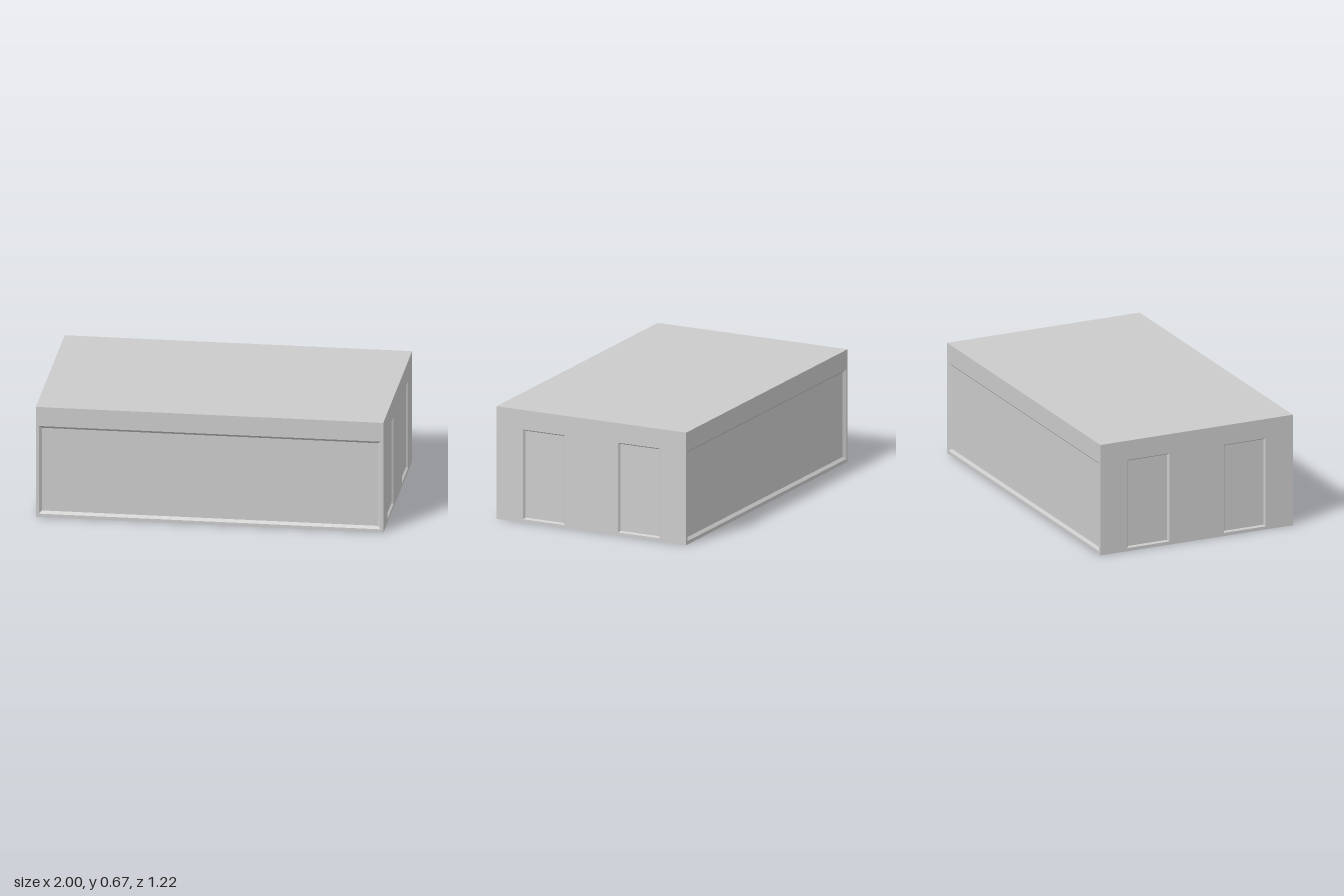
import * as THREE from 'three';

const W = 2, H = 0.666, D = 1.22;
const material = new THREE.MeshStandardMaterial({ color: 0xcccccc, flatShading: true });

function part(name, geometry) {
  const mesh = new THREE.Mesh(geometry, material);
  mesh.name = name;
  return mesh;
}

// Counter-clockwise corners of a rectangle
const corners = (x0, y0, x1, y1) => [[x0, y0], [x1, y0], [x1, y1], [x0, y1]];

// Sloping frame leading from the wall face to the recessed panel
function recessFrame(outer, inner, depth) {
  const positions = [];
  for (let i = 0; i < 4; i++) {
    const j = (i + 1) % 4;
    const a = [...outer[i], 0], b = [...outer[j], 0];
    const c = [...inner[j], -depth], d = [...inner[i], -depth];
    positions.push(...a, ...b, ...c, ...a, ...c, ...d);
  }
  const geometry = new THREE.BufferGeometry();
  geometry.setAttribute('position', new THREE.Float32BufferAttribute(positions, 3));
  geometry.computeVertexNormals();
  return geometry;
}

// Wall facing +z with recessed panels; each opening is [x0, y0, x1, y1]
function wall(name, width, openings, inset, depth, panelName) {
  const group = new THREE.Group();
  group.name = name;
  const toPoints = (list) => list.map(([x, y]) => new THREE.Vector2(x, y));
  const face = new THREE.Shape(toPoints(corners(-width / 2, 0, width / 2, H)));
  for (const [x0, y0, x1, y1] of openings) {
    const outer = corners(x0, y0, x1, y1);
    const inner = corners(x0 + inset, y0 + inset, x1 - inset, y1 - inset);
    face.holes.push(new THREE.Path(toPoints(outer).reverse()));
    group.add(part(panelName + 'Frame', recessFrame(outer, inner, depth)));
    const panel = part(panelName, new THREE.ShapeGeometry(new THREE.Shape(toPoints(inner))));
    panel.position.z = -depth;
    group.add(panel);
  }
  group.add(part(name + 'Face', new THREE.ShapeGeometry(face)));
  return group;
}

export function createModel() {
  const model = new THREE.Group();
  model.name = 'building';

  // Long walls with one wide panel, end walls with two doors
  const wide = [[-0.983, 0.02, 0.983, 0.551]];
  const doors = [[-0.438, 0.019, -0.173, 0.55], [0.173, 0.019, 0.438, 0.55]];
  for (const side of [1, -1]) {
    const long = wall(side > 0 ? 'frontWall' : 'backWall', W, wide, 0.015, 0.015, 'widePanel');
    long.rotation.y = side > 0 ? 0 : Math.PI;
    long.position.z = side * D / 2;
    const end = wall(side > 0 ? 'leftWall' : 'rightWall', D, doors, 0.008, 0.012, 'door');
    end.rotation.y = side * Math.PI / 2;
    end.position.x = side * W / 2;
    model.add(long, end);
  }

  // Flat roof and floor
  const roof = part('roof', new THREE.PlaneGeometry(W, D));
  roof.rotation.x = -Math.PI / 2;
  roof.position.y = H;
  const floor = part('floor', new THREE.PlaneGeometry(W, D));
  floor.rotation.x = Math.PI / 2;
  model.add(roof, floor);
  return model;
}
